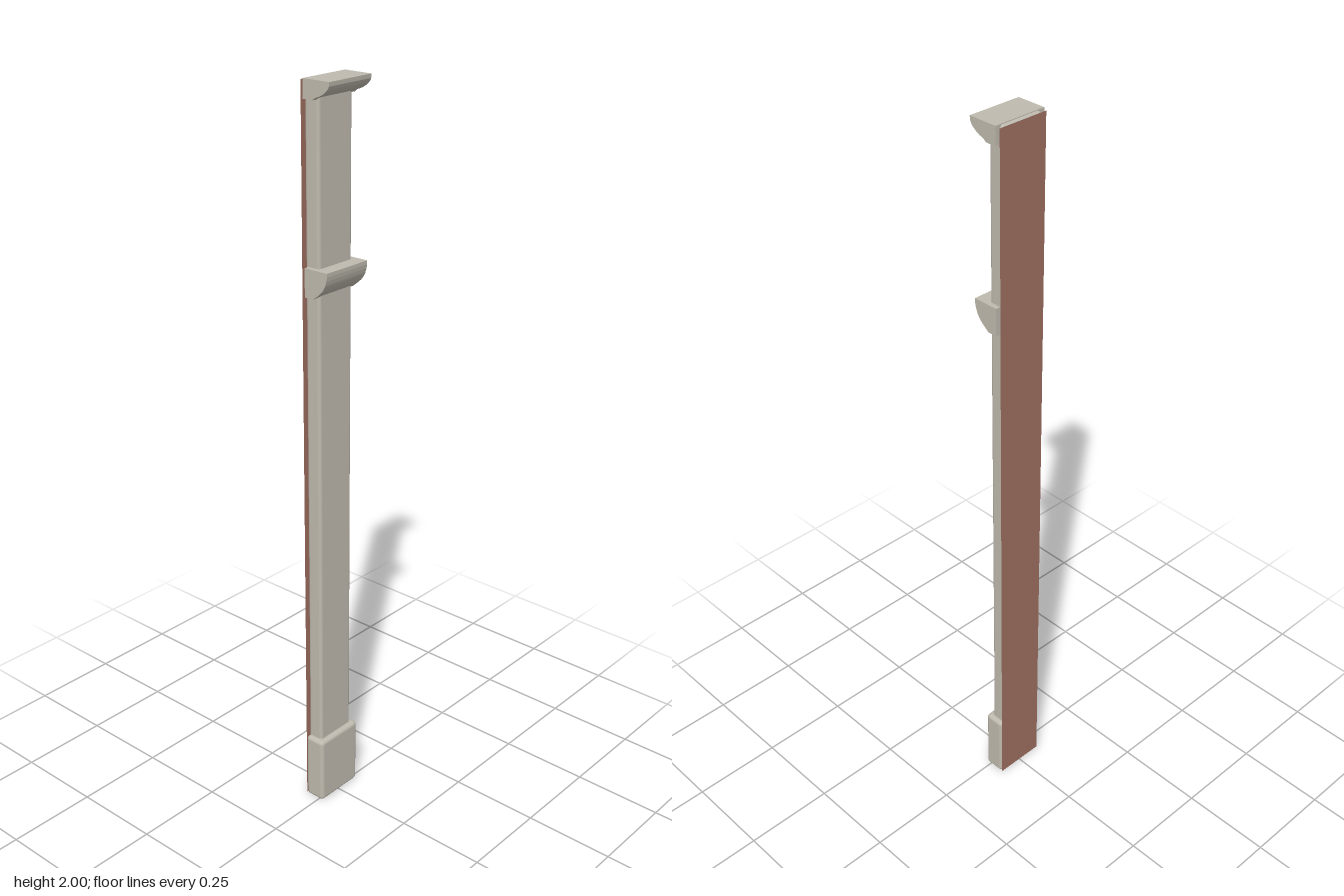
import * as THREE from 'three';
import { RoundedBoxGeometry } from 'three/addons/geometries/RoundedBoxGeometry.js';
import { toCreasedNormals } from 'three/addons/utils/BufferGeometryUtils.js';

const WIDTH = 0.149;
const BACK = -0.045;

export function createModel() {
  const group = new THREE.Group();

  const stone = new THREE.MeshStandardMaterial({ color: 0xbfbaae });
  stone.name = 'stone';
  const brick = new THREE.MeshStandardMaterial({ color: 0x9e6e60, side: THREE.DoubleSide });
  brick.name = 'brick';

  const add = (name, geometry, material) => {
    const mesh = new THREE.Mesh(geometry, material);
    mesh.name = name;
    group.add(mesh);
    return mesh;
  };

  // Rounded block standing between two heights, with its back on the wall
  const block = (name, width, y0, y1, front, radius) => {
    const depth = front - BACK;
    const geometry = new RoundedBoxGeometry(width, y1 - y0, depth, 4, radius);
    add(name, geometry, stone).position.set(0, (y0 + y1) / 2, BACK + depth / 2);
  };

  // Moulding swept across the width; the underside curve is given as [z, y]
  const moulding = (name, top, back, curve) => {
    const shape = new THREE.Shape();
    shape.moveTo(back, top);
    shape.lineTo(back, curve[curve.length - 1][1]);
    const points = curve.map(([z, y]) => new THREE.Vector2(z, y)).reverse();
    shape.lineTo(points[0].x, points[0].y);
    shape.splineThru(points.slice(1));
    shape.closePath();
    const geometry = new THREE.ExtrudeGeometry(shape, { depth: WIDTH, bevelEnabled: false, curveSegments: 16 });
    geometry.rotateY(-Math.PI / 2);
    geometry.translate(WIDTH / 2, 0, 0);
    add(name, toCreasedNormals(geometry, 0.6), stone);
  };

  block('base', WIDTH, 0, 0.195, 0.015, 0.011);
  block('shaft', 0.122, 0.01, 1.998, 0, 0.009);

  moulding('neckBand', 1.55, -0.035, [
    [0.037, 1.55], [0.036, 1.535], [0.03, 1.515], [0.02, 1.5], [0.006, 1.487], [-0.008, 1.476],
  ]);
  moulding('cornice', 2, -0.036, [
    [0.045, 2], [0.043, 1.987], [0.033, 1.975], [0.017, 1.965], [0.002, 1.959], [-0.006, 1.953],
  ]);

  // Thin wall strip behind the pilaster
  add('backPanel', new THREE.PlaneGeometry(0.142, 1.995), brick).position.set(0, 0.9985, BACK - 0.0008);

  return group;
}
